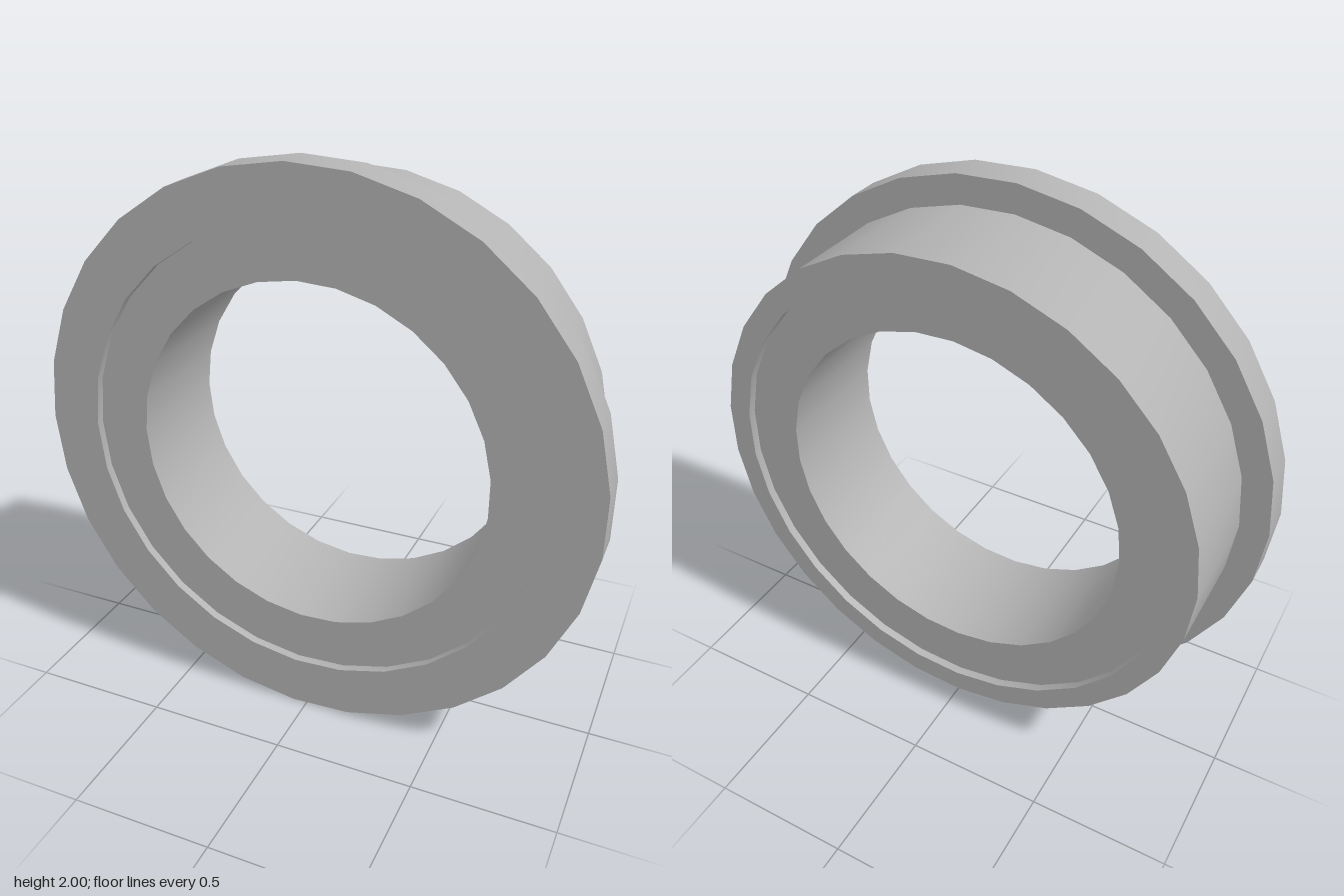
import * as THREE from 'three';
import { toCreasedNormals } from 'three/addons/utils/BufferGeometryUtils.js';

const SIDES = 29;
const FRONT = 0.255;       // half depth of the outer ring
const RECESS = 0.225;      // half depth of the inner ring
const SEAM = 0.815;        // radius where the two rings meet
const BORE = 0.63;

// Revolves a [radius, z] profile around the z axis, keeping its edges sharp
function ring(name, profile, material) {
  const points = profile.map(([r, z]) => new THREE.Vector2(r, z));
  const geometry = new THREE.LatheGeometry(points, SIDES, -Math.PI / 2);
  geometry.rotateX(Math.PI / 2);
  const mesh = new THREE.Mesh(toCreasedNormals(geometry, 0.5), material);
  mesh.name = name;
  return mesh;
}

export function createModel() {
  const steel = new THREE.MeshStandardMaterial({ color: 0xb3b3b3 });
  steel.name = 'grey steel';

  const model = new THREE.Group();
  model.name = 'flangedBearing';

  // Outer ring with the wide flange at the front
  model.add(ring('flangedOuterRing', [
    [SEAM, -RECESS], [SEAM, -FRONT], [0.9, -FRONT], [0.9, 0.13],
    [1.0015, 0.13], [1.0015, FRONT], [SEAM, FRONT], [SEAM, RECESS],
  ], steel));

  // Slightly recessed inner ring with the bore
  model.add(ring('innerRing', [
    [SEAM, RECESS], [BORE, RECESS], [BORE, -RECESS], [SEAM, -RECESS],
  ], steel));

  model.position.set(0.003, 1, 0);
  return model;
}
